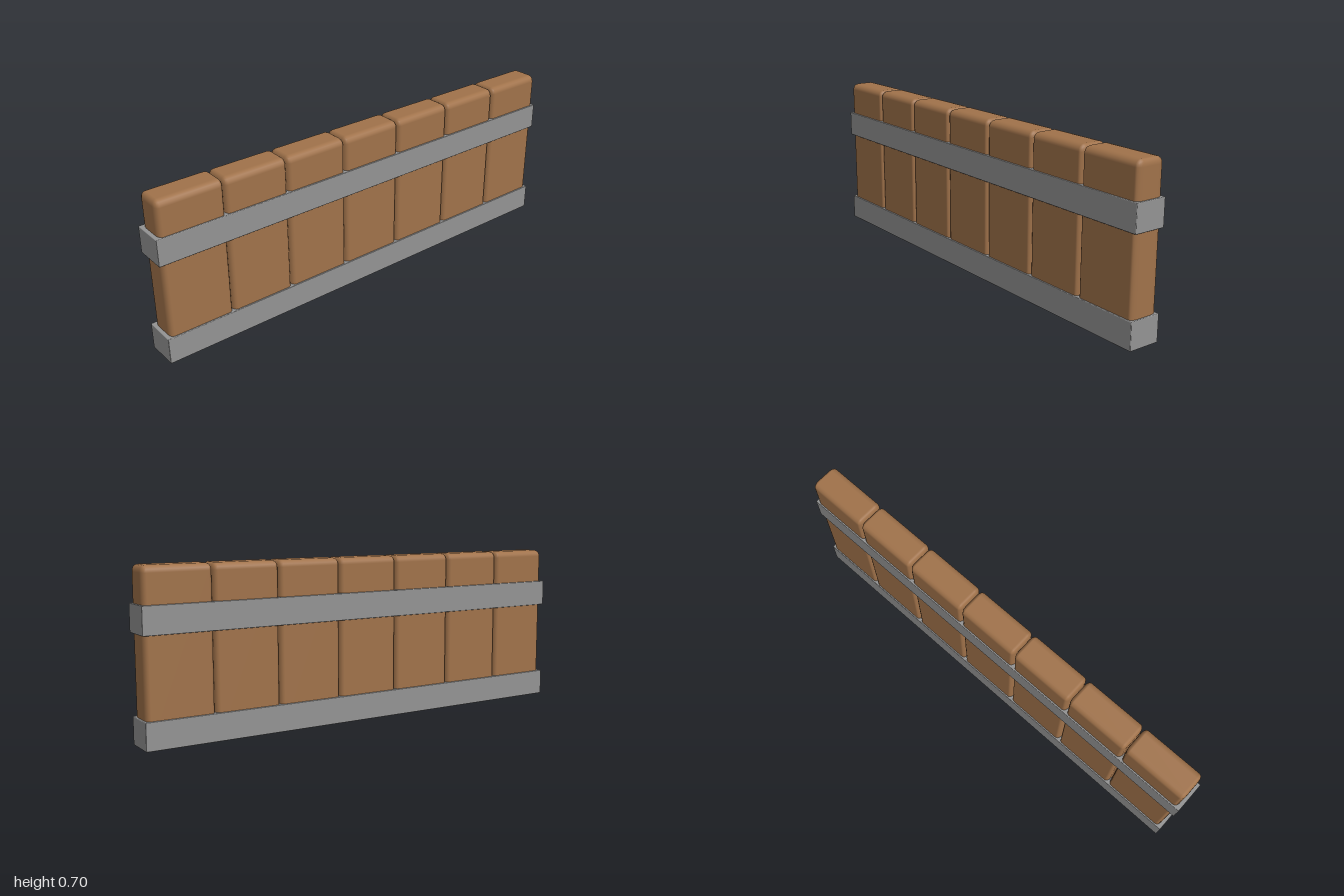
import * as THREE from 'three';
import { RoundedBoxGeometry } from 'three/addons/geometries/RoundedBoxGeometry.js';

const PLANKS = 7, PITCH = 0.2828;

export function createModel() {
  const model = new THREE.Group();
  model.name = 'plankBarrier';
  const wood = new THREE.MeshStandardMaterial({ color: 0xa0724a });
  const metal = new THREE.MeshStandardMaterial({ color: 0x939393 });

  // Upright planks: rounding is wide across the thickness, tighter along the row
  const zScale = 0.6;
  const plankGeometry = new RoundedBoxGeometry(0.126, 0.698, 0.28 / zScale, 2, 0.028);
  plankGeometry.scale(1, 1, zScale);
  for (let i = 0; i < PLANKS; i++) {
    const plank = new THREE.Mesh(plankGeometry, wood);
    plank.name = `plank${i + 1}`;
    plank.position.set(0, 0.349, (i - (PLANKS - 1) / 2) * PITCH - 0.004);
    model.add(plank);
  }

  // Two solid bands around the whole row, with slightly softened edges
  const bandGeometry = new RoundedBoxGeometry(0.138, 0.113, 2, 2, 0.003);
  for (const [name, y] of [['lowerBand', 0.06], ['upperBand', 0.495]]) {
    const band = new THREE.Mesh(bandGeometry, metal);
    band.name = name;
    band.position.y = y;
    model.add(band);
  }
  return model;
}
